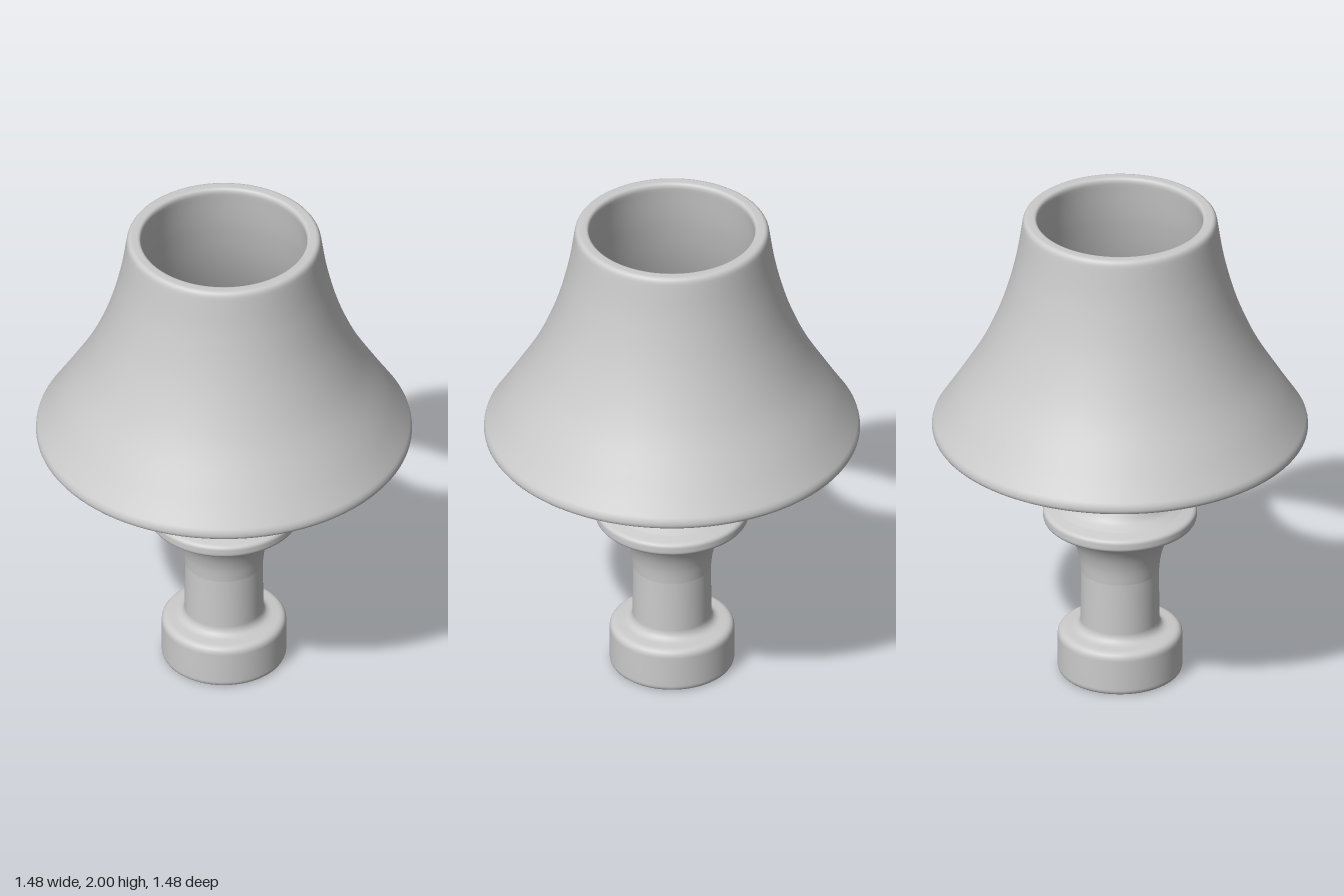
import * as THREE from 'three';

const V = (p) => new THREE.Vector2(p[0], p[1]);

// Revolve a profile path (x = radius, y = height) into a smooth turned part
function turned(name, path, material) {
  const mesh = new THREE.Mesh(new THREE.LatheGeometry(path.getPoints(6), 96), material);
  mesh.name = name;
  return mesh;
}

export function createModel() {
  const material = new THREE.MeshStandardMaterial({ color: 0xcccccc });
  const lamp = new THREE.Group();
  lamp.name = 'tableLamp';

  // Turned stand: foot, column, wide collar, small ring, flared cap
  const stand = new THREE.Path();
  stand.moveTo(0, 0);
  stand.lineTo(0.225, 0);
  stand.quadraticCurveTo(0.246, 0, 0.246, 0.025);
  stand.lineTo(0.246, 0.15);
  stand.quadraticCurveTo(0.246, 0.182, 0.215, 0.184);
  stand.lineTo(0.19, 0.186);
  stand.quadraticCurveTo(0.157, 0.19, 0.155, 0.225);
  stand.lineTo(0.154, 0.44);
  // Flare up to the wide collar
  stand.splineThru([[0.163, 0.51], [0.185, 0.575], [0.222, 0.63], [0.265, 0.657]].map(V));
  stand.lineTo(0.285, 0.661);
  stand.quadraticCurveTo(0.303, 0.665, 0.303, 0.682);
  stand.lineTo(0.303, 0.698);
  stand.quadraticCurveTo(0.303, 0.713, 0.285, 0.717);
  stand.lineTo(0.25, 0.725);
  stand.splineThru([[0.21, 0.745], [0.186, 0.78], [0.168, 0.82], [0.165, 0.84]].map(V));
  // Small ring
  stand.lineTo(0.182, 0.844);
  stand.quadraticCurveTo(0.2, 0.85, 0.2, 0.865);
  stand.lineTo(0.2, 0.888);
  stand.quadraticCurveTo(0.2, 0.904, 0.182, 0.908);
  stand.lineTo(0.165, 0.914);
  // Neck and flared cap, hidden inside the shade
  stand.splineThru([[0.152, 0.935], [0.15, 0.975], [0.158, 1.02], [0.176, 1.065], [0.205, 1.11]].map(V));
  stand.quadraticCurveTo(0.224, 1.13, 0.224, 1.148);
  stand.quadraticCurveTo(0.224, 1.165, 0.205, 1.165);
  stand.lineTo(0, 1.165);
  lamp.add(turned('stand', stand, material));

  // Open, thick-walled bell shade: up the outside, over the rim, down the inside
  const shade = new THREE.Path();
  shade.moveTo(0.695, 1.06);
  shade.lineTo(0.72, 1.06);
  shade.quadraticCurveTo(0.749, 1.063, 0.737, 1.1);
  shade.splineThru([[0.665, 1.212], [0.553, 1.4], [0.468, 1.6], [0.413, 1.8], [0.384, 1.975]].map(V));
  shade.quadraticCurveTo(0.38, 2, 0.362, 2);
  shade.lineTo(0.342, 2);
  shade.quadraticCurveTo(0.325, 2, 0.327, 1.975);
  shade.splineThru([[0.357, 1.79], [0.413, 1.585], [0.5, 1.38], [0.613, 1.19], [0.683, 1.085]].map(V));
  shade.quadraticCurveTo(0.69, 1.064, 0.695, 1.06);
  lamp.add(turned('lampshade', shade, material));

  return lamp;
}
